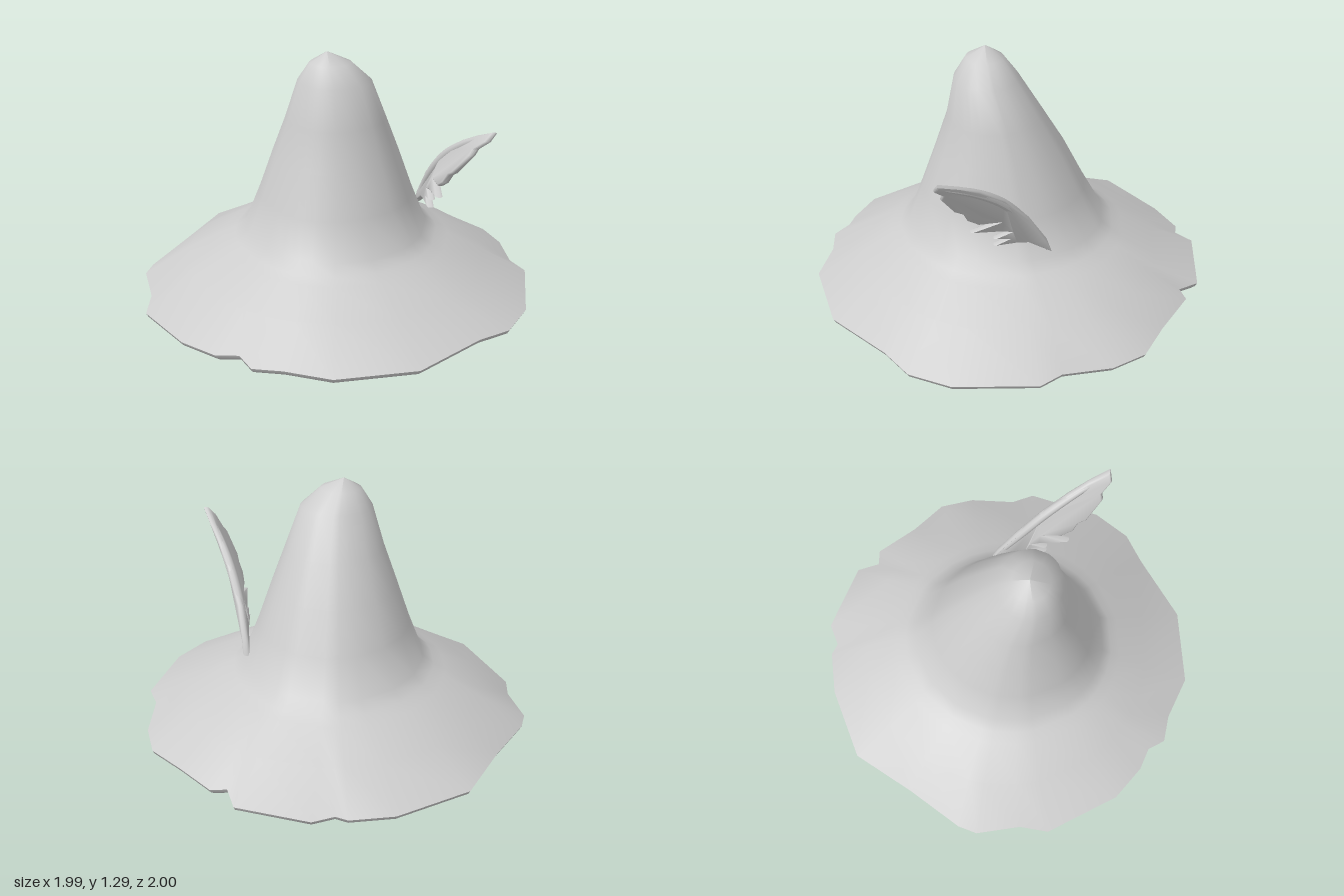
import * as THREE from 'three';
import { toCreasedNormals } from 'three/addons/utils/BufferGeometryUtils.js';

// Ragged brim edge as [x, z, height], running clockwise from the back
const RIM = [
  [0, -1, 0.1], [0.36, -0.92, 0.09], [0.41, -0.81, 0.1], [0.49, -0.82, 0.1],
  [0.67, -0.65, 0.08], [0.84, -0.52, 0.08], [0.91, -0.35, 0.08], [0.93, -0.11, 0.09],
  [0.99, 0, 0.09], [0.93, 0.39, 0.08], [0.82, 0.58, 0.08], [0.67, 0.68, 0.09],
  [0.38, 0.92, 0.08], [0, 1, 0.085], [-0.22, 0.93, 0.08], [-0.36, 0.92, 0.085],
  [-0.42, 0.84, 0.1], [-0.53, 0.81, 0.08], [-0.7, 0.7, 0.08], [-0.93, 0.37, 0.035],
  [-0.93, 0.22, 0.05], [-1, 0, 0.06], [-0.98, -0.1, 0.06], [-0.84, -0.38, 0.08],
  [-0.7, -0.7, 0.09], [-0.37, -0.9, 0.08], [-0.16, -0.96, 0.09], [-0.1, -0.94, 0.09],
];

// Cross-sections as [y, centre x, centre z, radius x, radius z]
const OUTSIDE = [
  [1.295, -0.04, 0.11, 0.002, 0.002],
  [1.245, -0.025, 0.115, 0.1, 0.09],
  [1.155, -0.005, 0.11, 0.178, 0.155],
  [0.96, 0, 0.07, 0.245, 0.235],
  [0.77, 0, 0.045, 0.315, 0.325],
  [0.57, 0, 0.03, 0.385, 0.412],
  [0.39, 0, 0.015, 0.457, 0.497],
  [0.345, 0, 0.012, 0.515, 0.55],
  [0.315, 0, 0.01, 0.575, 0.6],
  [0.215, 0, 0, 0.76, 0.76],
];
const UNDERSIDE = [
  [0.11, 0, 0, 0.79, 0.79],
  [0.18, 0, 0, 0.6, 0.6],
  [0.255, 0, 0.005, 0.49, 0.5],
  [0.325, 0, 0.01, 0.38, 0.4],
  [0.37, 0, 0.01, 0.2, 0.2],
  [0.375, 0, 0.01, 0.002, 0.002],
];

function hatGeometry() {
  const section = ([y, cx, cz, rx, rz]) => RIM.map(([x, z]) => {
    const a = Math.atan2(z, x);
    return [cx + rx * Math.cos(a), y, cz + rz * Math.sin(a)];
  });
  const edge = (scale, drop) => RIM.map(([x, z, y]) => [x * scale, y - drop, z * scale]);
  // Crown and brim, rounded lip, then the shallow bowl beneath
  const rings = [
    ...OUTSIDE.map(section),
    edge(1, 0), edge(0.99, 0.02), edge(0.97, 0.035),
    ...UNDERSIDE.map(section),
  ];
  const n = RIM.length, index = [];
  for (let i = 0; i < rings.length - 1; i++) {
    for (let j = 0; j < n; j++) {
      const k = (j + 1) % n;
      const a = i * n + j, b = i * n + k, c = a + n, d = b + n;
      index.push(a, b, c, b, d, c);
    }
  }
  const geo = new THREE.BufferGeometry();
  geo.setAttribute('position', new THREE.Float32BufferAttribute(rings.flat(2), 3));
  geo.setIndex(index);
  return toCreasedNormals(geo, 1.1);
}

// Outward lean of the feather at a given height, with the vane twisted out to the front
const LEAN = [[0.4, 0.41], [0.5, 0.43], [0.6, 0.455], [0.7, 0.495], [0.8, 0.545], [0.9, 0.615], [1.02, 0.725]];
function leanAt(y, z) {
  let i = 0;
  while (i < LEAN.length - 2 && y > LEAN[i + 1][0]) i++;
  const [y0, x0] = LEAN[i], [y1, x1] = LEAN[i + 1];
  const twist = 0.13 * (z - 0.95 * (y - 0.67));
  return x0 + (x1 - x0) * (y - y0) / (y1 - y0) + twist;
}

// Spine and barbed front edge of the feather as [z, y]
const SPINE = [[-0.135, 0.43], [-0.11, 0.49], [-0.02, 0.64], [0.1, 0.79], [0.22, 0.89], [0.31, 0.945], [0.4, 0.99]];
const BARBS = [
  [0.41, 0.96], [0.37, 0.91], [0.38, 0.88], [0.32, 0.775], [0.28, 0.75], [0.26, 0.7], [0.21, 0.665],
  [0.1, 0.655], [0.24, 0.613], [0.1, 0.598], [0.05, 0.58], [0.13, 0.553], [0.06, 0.54],
  [0.13, 0.513], [0.03, 0.515], [-0.03, 0.505],
];

function vaneGeometry() {
  const shape = new THREE.Shape([...SPINE, ...BARBS].map(([z, y]) => new THREE.Vector2(-z, y)));
  const geo = new THREE.ExtrudeGeometry(shape, {
    depth: 0.01, bevelEnabled: true, bevelThickness: 0.012, bevelSize: 0.008, bevelSegments: 2,
  });
  geo.translate(0, 0, -0.005).rotateY(Math.PI / 2);
  const p = geo.attributes.position;
  for (let i = 0; i < p.count; i++) p.setX(i, p.getX(i) + leanAt(p.getY(i), p.getZ(i)));
  return toCreasedNormals(geo, 1.1);
}

// Quill swelling in the middle and tapering to both ends
function quillGeometry() {
  const path = new THREE.CatmullRomCurve3(
    SPINE.map(([z, y]) => new THREE.Vector3(leanAt(y, z), y - 0.008, z + 0.014)));
  const steps = 24, sides = 10;
  const geo = new THREE.TubeGeometry(path, steps, 0.024, sides);
  const p = geo.attributes.position, v = new THREE.Vector3();
  for (let i = 0; i < p.count; i++) {
    const t = Math.floor(i / (sides + 1)) / steps;
    const centre = path.getPointAt(t);
    v.fromBufferAttribute(p, i).sub(centre).multiplyScalar(Math.sqrt(Math.sin(Math.PI * t) + 0.001)).add(centre);
    p.setXYZ(i, v.x, v.y, v.z);
  }
  geo.computeVertexNormals();
  return geo;
}

export function createModel() {
  const grey = new THREE.MeshStandardMaterial({ color: 0xcccccc });
  grey.name = 'plain grey';
  const model = new THREE.Group();
  model.name = 'featheredHat';

  const add = (name, geo, parent) => {
    const mesh = new THREE.Mesh(geo, grey);
    mesh.name = name;
    parent.add(mesh);
  };
  add('hat', hatGeometry(), model);

  // Feather tucked against the left of the crown
  const feather = new THREE.Group();
  feather.name = 'feather';
  model.add(feather);
  add('vane', vaneGeometry(), feather);
  add('quill', quillGeometry(), feather);
  return model;
}
